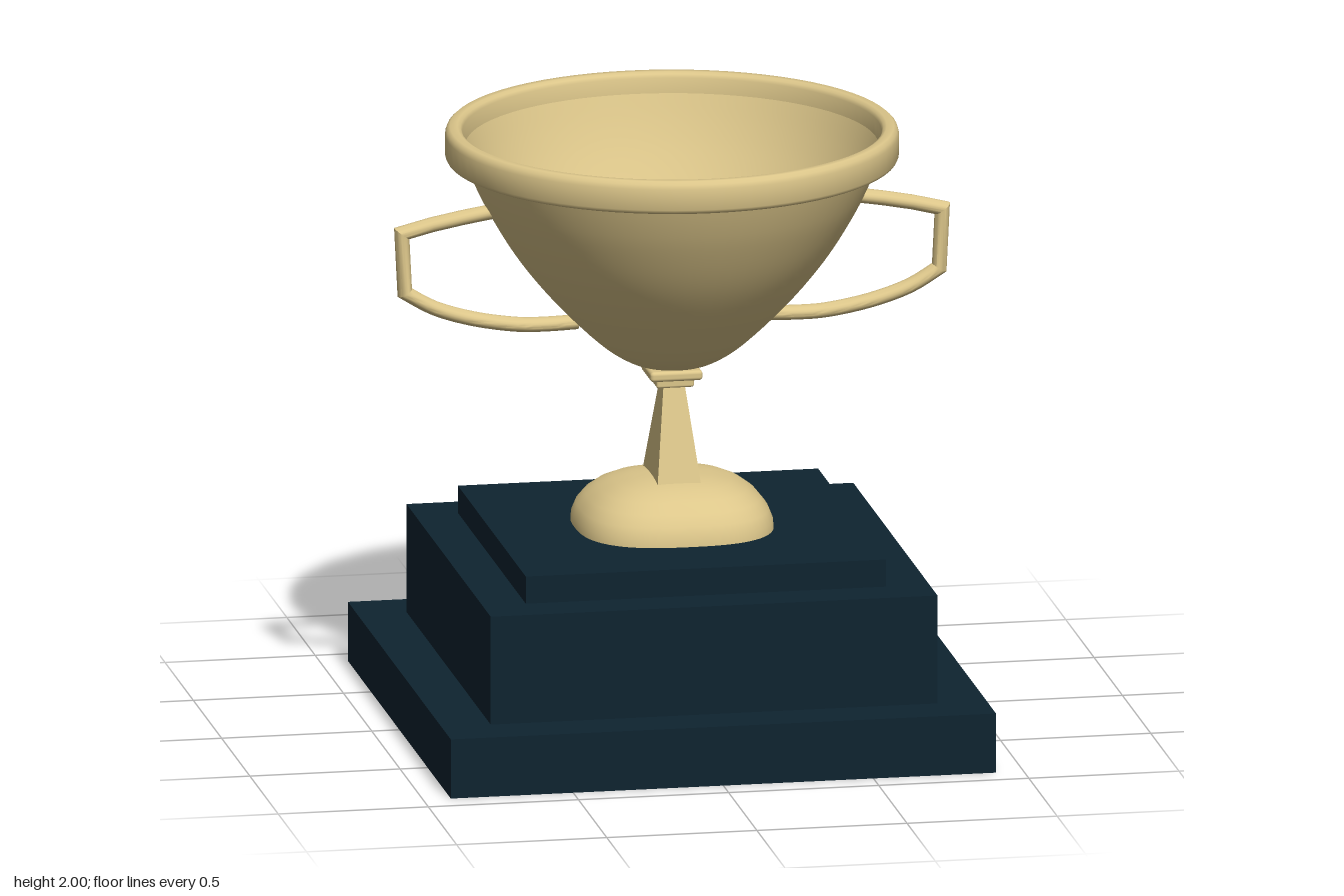
import * as THREE from 'three';
import { toCreasedNormals, mergeVertices } from 'three/addons/utils/BufferGeometryUtils.js';
import { RoundedBoxGeometry } from 'three/addons/geometries/RoundedBoxGeometry.js';

const gold = new THREE.MeshStandardMaterial({ color: 0xdcc68a });
gold.name = 'pale gold';
const navy = new THREE.MeshStandardMaterial({ color: 0x0e2430 });
navy.name = 'dark navy';

const vectors = (pairs) => pairs.map(([x, y]) => new THREE.Vector2(x, y));

function addMesh(parent, name, geometry, material, y = 0) {
  const mesh = new THREE.Mesh(geometry, material);
  mesh.name = name;
  mesh.position.y = y;
  parent.add(mesh);
  return mesh;
}

// Elliptical tube along a path in the xy plane, mitred at its corners
function mitredTube(path, radius, depth, sides = 20) {
  const positions = [], indices = [];
  const points = vectors(path), last = points.length - 1;
  points.forEach((p, i) => {
    const before = p.clone().sub(points[Math.max(i - 1, 0)]).normalize();
    const after = points[Math.min(i + 1, last)].clone().sub(p).normalize();
    const along = before.clone().add(after).normalize();
    const stretch = 1 / along.dot(i < last ? after : before);
    for (let j = 0; j < sides; j++) {
      const a = (j / sides) * Math.PI * 2;
      const offset = Math.cos(a) * radius * stretch;
      positions.push(p.x - along.y * offset, p.y + along.x * offset, Math.sin(a) * depth);
      if (i < last) {
        const k = i * sides + j, n = i * sides + ((j + 1) % sides);
        indices.push(k, n, k + sides, n, n + sides, k + sides);
      }
    }
  });
  const geometry = new THREE.BufferGeometry();
  geometry.setAttribute('position', new THREE.Float32BufferAttribute(positions, 3));
  geometry.setIndex(indices);
  return toCreasedNormals(geometry, 0.6);
}

// Dome with a rounded-square plan
function domeGeometry() {
  const profile = vectors([
    [0.325, 0.655], [0.322, 0.685], [0.308, 0.72], [0.28, 0.755], [0.24, 0.785],
    [0.19, 0.808], [0.13, 0.822], [0.07, 0.828], [0, 0.83],
  ]);
  const geometry = new THREE.LatheGeometry(profile, 64);
  geometry.deleteAttribute('uv');
  geometry.deleteAttribute('normal');
  const pos = geometry.attributes.position, power = 2.7;
  for (let i = 0; i < pos.count; i++) {
    const x = pos.getX(i), z = pos.getZ(i), r = Math.hypot(x, z);
    if (r < 1e-6) continue;
    const s = Math.pow(Math.abs(x / r) ** power + Math.abs(z / r) ** power, -1 / power);
    pos.setX(i, x * s);
    pos.setZ(i, z * s);
  }
  const merged = mergeVertices(geometry, 1e-5);
  merged.computeVertexNormals();
  return merged;
}

// Four-sided stem, wider front to back at its foot
function stemGeometry(bottom, top) {
  const height = top - bottom;
  const geometry = new THREE.BoxGeometry(2, height, 2);
  const pos = geometry.attributes.position;
  for (let i = 0; i < pos.count; i++) {
    const upper = pos.getY(i) > 0;
    pos.setX(i, pos.getX(i) * (upper ? 0.035 : 0.073));
    pos.setZ(i, pos.getZ(i) * (upper ? 0.036 : 0.132));
  }
  geometry.translate(0, bottom + height / 2, 0);
  geometry.computeVertexNormals();
  return geometry;
}

export function createModel() {
  const trophy = new THREE.Group();
  trophy.name = 'trophy';

  // Stepped plinth
  const plinth = new THREE.Group();
  plinth.name = 'plinth';
  trophy.add(plinth);
  [['lowerStep', 0.908, 0, 0.2], ['middleStep', 0.744, 0.2, 0.565], ['upperStep', 0.6, 0.565, 0.657]]
    .forEach(([name, half, low, high]) => {
      addMesh(plinth, name, new THREE.BoxGeometry(half * 2, high - low, half * 2), navy, (low + high) / 2);
    });

  // Foot, stem and collars
  addMesh(trophy, 'foot', domeGeometry(), gold);
  addMesh(trophy, 'stem', stemGeometry(0.81, 1.135), gold);
  addMesh(trophy, 'lowerCollar', new RoundedBoxGeometry(0.125, 0.032, 0.125, 3, 0.008), gold, 1.144);
  addMesh(trophy, 'upperCollar', new RoundedBoxGeometry(0.174, 0.034, 0.174, 3, 0.012), gold, 1.172);

  // Bowl with an outer and an inner wall
  const outline = new THREE.SplineCurve(vectors([
    [0, 1.19], [0.1, 1.197], [0.17, 1.225], [0.25, 1.283], [0.37, 1.4],
    [0.465, 1.51], [0.54, 1.615], [0.61, 1.735], [0.655, 1.83], [0.69, 1.92],
  ])).getPoints(36);
  outline[0].x = 0;
  const inner = outline.map((p) => new THREE.Vector2(Math.max(p.x - 0.013, 0), p.y + 0.013)).reverse();
  inner[inner.length - 1].x = 0;
  addMesh(trophy, 'bowlOutside', new THREE.LatheGeometry(outline, 72), gold);
  addMesh(trophy, 'bowlInside', new THREE.LatheGeometry(inner, 72), gold);

  // Rounded rim band
  const rim = new THREE.LatheGeometry(vectors([
    [0.672, 1.89], [0.728, 1.89], [0.738, 1.895], [0.743, 1.905], [0.743, 1.975], [0.738, 1.99],
    [0.727, 2], [0.703, 2], [0.692, 1.994], [0.686, 1.982], [0.686, 1.905], [0.672, 1.89],
  ]), 72);
  addMesh(trophy, 'rim', toCreasedNormals(rim, 0.75), gold);

  // Pair of angular handles
  const sweep = new THREE.SplineCurve(vectors([
    [0.89, 1.478], [0.79, 1.42], [0.66, 1.378], [0.52, 1.353], [0.42, 1.349], [0.316, 1.352],
  ])).getPoints(20).map((p) => [p.x, p.y]);
  const path = [[0.6, 1.738], [0.7, 1.722], [0.8, 1.703], [0.9, 1.678], ...sweep];
  const handle = mitredTube(path, 0.024, 0.033);
  addMesh(trophy, 'leftHandle', handle, gold);
  addMesh(trophy, 'rightHandle', handle, gold).rotation.y = Math.PI;

  return trophy;
}
